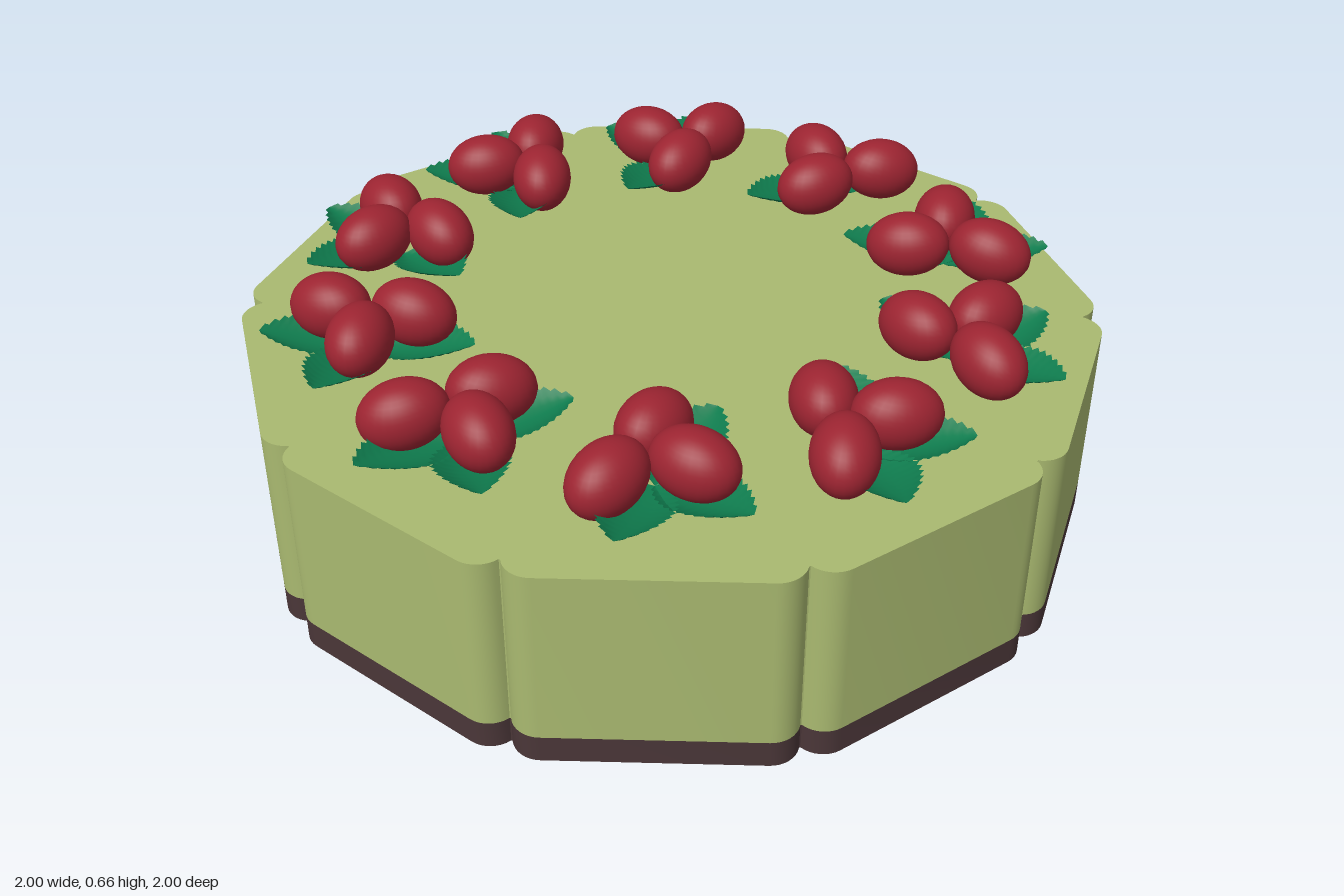
import * as THREE from 'three';
import { toCreasedNormals } from 'three/addons/utils/BufferGeometryUtils.js';

const COUNT = 10, STEP = (Math.PI * 2) / COUNT, RAD = Math.PI / 180;
const TOP = 0.49, BASE = 0.065;

const sponge = new THREE.MeshStandardMaterial({ color: 0xa9b970 });
sponge.name = 'pistachio green';
const chocolate = new THREE.MeshStandardMaterial({ color: 0x4a3638 });
chocolate.name = 'dark chocolate';
const red = new THREE.MeshStandardMaterial({ color: 0x9c2431 });
red.name = 'berry red';
const green = new THREE.MeshStandardMaterial({ color: 0x0f7c4e, side: THREE.DoubleSide });
green.name = 'leaf green';

function add(parent, name, geometry, material) {
  const mesh = new THREE.Mesh(geometry, material);
  mesh.name = name;
  parent.add(mesh);
  return mesh;
}

// Outline of ten flat lobes with rounded ends that meet in sharp notches
function cakeOutline() {
  const points = [], apothem = 0.911, half = 0.235, r = 0.064, n = 8;
  for (let i = 0; i < COUNT; i++) {
    const c = -82 * RAD + i * STEP;
    const put = (side, out) => points.push(new THREE.Vector2(
      Math.cos(c) * out - Math.sin(c) * side, Math.sin(c) * out + Math.cos(c) * side));
    for (let k = 0; k <= n; k++) {
      const a = (10 + (80 * k) / n) * RAD;
      put(-half - r * Math.cos(a), apothem + r * Math.sin(a));
    }
    for (let k = n; k >= 0; k--) {
      const a = (10 + (80 * k) / n) * RAD;
      put(half + r * Math.cos(a), apothem + r * Math.sin(a));
    }
  }
  return new THREE.Shape(points);
}

function layer(y0, y1) {
  const g = new THREE.ExtrudeGeometry(cakeOutline(), { depth: y1 - y0, bevelEnabled: false });
  g.rotateX(Math.PI / 2).translate(0, y1, 0);
  return toCreasedNormals(g, 0.6);
}

// Cupped leaf along +x with a toothed edge and a rising tip
function leafGeometry() {
  const length = 0.25, rows = 26;
  const g = new THREE.PlaneGeometry(1, 2, rows, 6).rotateX(-Math.PI / 2);
  const p = g.attributes.position;
  for (let i = 0; i < p.count; i++) {
    const t = p.getX(i) + 0.5, s = p.getZ(i);
    const tooth = Math.round(t * rows) % 2 ? 0.006 : -0.004;
    const w = t > 0.999 ? 0 : 0.08 * Math.pow(Math.sin(Math.PI * Math.pow(t, 0.95)), 0.75);
    const width = Math.max(0, w + (w > 0.01 ? tooth : 0));
    p.setXYZ(i, t * length, 0.008 + 0.05 * t * t + 0.03 * s * s * (width / 0.08), s * width);
  }
  g.computeVertexNormals();
  return g;
}

// ring radius, ring angle, height, heading, tilt
const BERRIES = [
  [0.735, -88, 0.58, 35, 4],
  [0.78, -75, 0.573, -42, -10],
  [0.597, -81, 0.575, -50, 8],
];
const LEAF_HEADINGS = [-66, -135, 128];

export function createModel() {
  const model = new THREE.Group();
  model.name = 'berryCake';
  add(model, 'chocolateBase', layer(0, BASE), chocolate);
  add(model, 'cakeBody', layer(BASE, TOP), sponge);

  const berry = new THREE.SphereGeometry(1, 28, 20).scale(0.1, 0.078, 0.074);
  const leaf = leafGeometry();
  const ring = new THREE.Group();
  ring.name = 'berryRing';
  ring.position.set(-0.008, 0, -0.007);
  model.add(ring);

  for (let i = 0; i < COUNT; i++) {
    const cluster = new THREE.Group();
    cluster.name = 'berryCluster';
    cluster.rotation.y = -i * STEP;
    ring.add(cluster);
    for (const [r, angle, y, heading, tilt] of BERRIES) {
      const m = add(cluster, 'berry', berry, red);
      m.position.set(r * Math.cos(angle * RAD), y, r * Math.sin(angle * RAD));
      m.rotation.set(0, -heading * RAD, tilt * RAD);
    }
    for (const heading of LEAF_HEADINGS) {
      const m = add(cluster, 'leaf', leaf, green);
      m.position.set(0.102, TOP, -0.693);
      m.rotation.y = -heading * RAD;
    }
  }
  return model;
}
